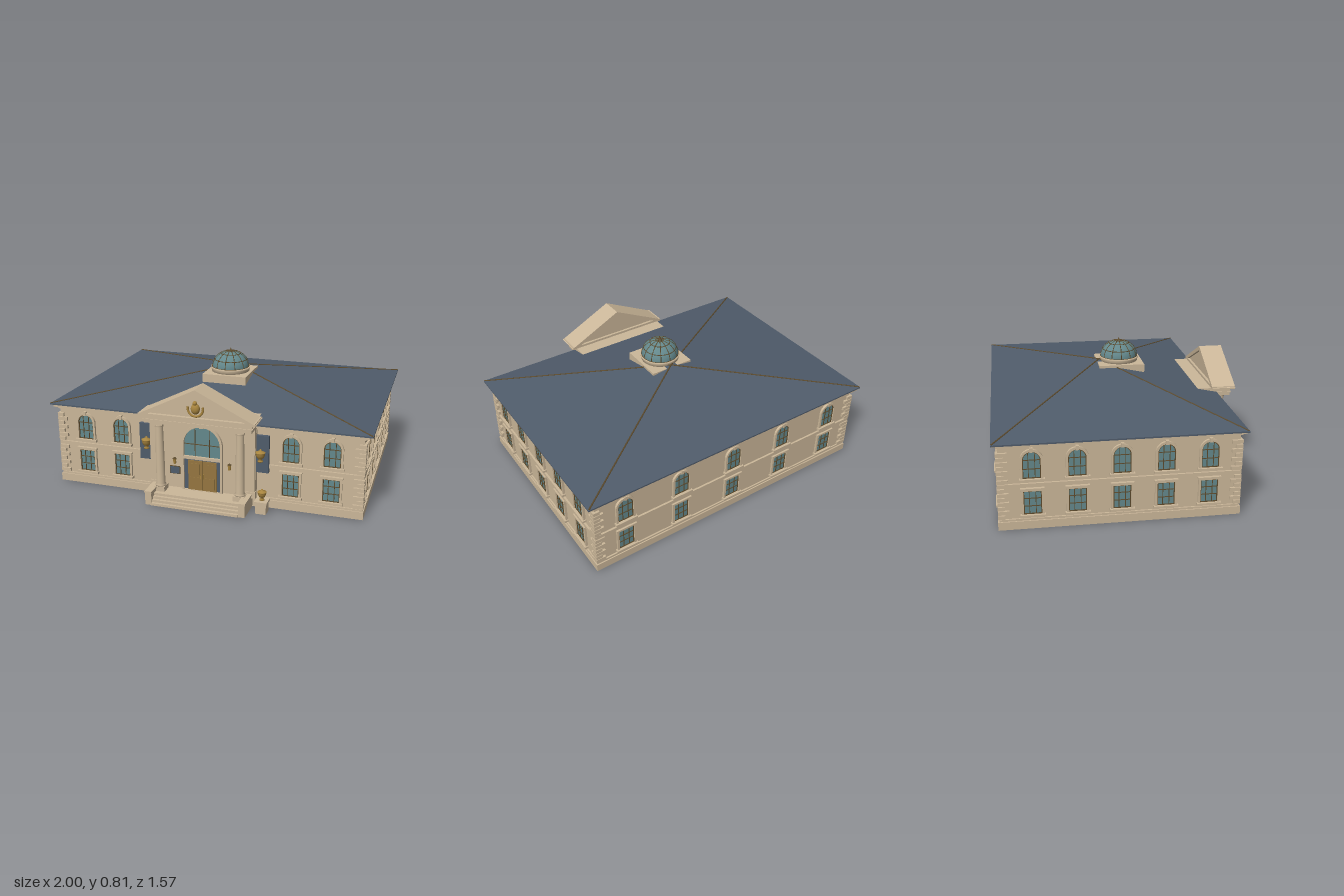
import * as THREE from 'three';

const mat = (name, color) => {
  const m = new THREE.MeshStandardMaterial({ color });
  m.name = name;
  return m;
};

export function createModel() {
  const stone = mat('stone', 0xcbb799), slate = mat('roof slate', 0x505c6b), glass = mat('window glass', 0x64888c);
  const bronze = mat('dark bronze', 0x5e4c2e), gold = mat('gold', 0xa8853f), wood = mat('door wood', 0x957640);
  const root = new THREE.Group();
  const CZ = -0.08, HX = 0.95, HZ = 0.67, WALL = CZ + HZ, BLOCK = 0.615;

  const add = (name, geo, m, parent = root, x = 0, y = 0, z = 0) => {
    const mesh = new THREE.Mesh(geo, m);
    mesh.name = name;
    mesh.position.set(x, y, z);
    parent.add(mesh);
    return mesh;
  };
  // box given by its ranges
  const box = (name, m, x0, x1, y0, y1, z0, z1, parent = root) =>
    add(name, new THREE.BoxGeometry(x1 - x0, y1 - y0, z1 - z0), m, parent, (x0 + x1) / 2, (y0 + y1) / 2, (z0 + z1) / 2);
  const group = (name, parent = root) => {
    const g = new THREE.Group();
    g.name = name;
    parent.add(g);
    return g;
  };
  const lathe = (pts, seg = 20) => new THREE.LatheGeometry(pts.map(p => new THREE.Vector2(...p)), seg);
  const extrude = (shape, depth) => new THREE.ExtrudeGeometry(shape, { depth, bevelEnabled: false, curveSegments: 14 });
  // rectangle or round-headed outline
  const outline = (hw, y0, y1, arched, C = THREE.Shape) => {
    const s = new C();
    s.moveTo(-hw, y0);
    s.lineTo(hw, y0);
    if (arched) {
      s.lineTo(hw, y1 - hw);
      s.absarc(0, y1 - hw, hw, 0, Math.PI, false);
    } else {
      s.lineTo(hw, y1);
      s.lineTo(-hw, y1);
    }
    s.lineTo(-hw, y0);
    return s;
  };

  // walls with plinth, string course and cornice
  const ring = (name, e, y0, y1) => box(name, stone, -HX - e, HX + e, y0, y1, CZ - HZ - e, CZ + HZ + e);
  ring('walls', 0, 0.04, 0.51);
  ring('plinth', 0.016, 0, 0.048);
  ring('plinthMoulding', 0.009, 0.048, 0.06);
  ring('stringCourse', 0.012, 0.25, 0.272);
  ring('frieze', 0.01, 0.485, 0.5);
  ring('cornice', 0.03, 0.5, 0.515);

  // corner quoins
  for (const sx of [-1, 1]) for (const sz of [-1, 1]) {
    const q = group('quoins');
    for (let i = 0; i < 14; i++) {
      const y = 0.063 + (i % 7) * 0.0265 + (i > 6 ? 0.212 : 0);
      const w = i % 2 ? 0.04 : 0.062, d = i % 2 ? 0.062 : 0.04;
      add('quoin', new THREE.BoxGeometry(w, 0.022, d), stone, q,
        sx * (HX + 0.014 - w / 2), y + 0.012, CZ + sz * (HZ + 0.014 - d / 2));
    }
  }

  // windows, built facing +z at the wall plane
  function windowBay(x, z, turn) {
    const bay = group('windowBay');
    bay.position.set(x, 0, z);
    bay.rotation.y = turn;
    for (const [y0, y1, arched] of [[0.085, 0.225, false], [0.3, 0.458, true]]) {
      const hw = 0.05, w = group(arched ? 'archedWindow' : 'squareWindow', bay);
      add('pane', new THREE.ShapeGeometry(outline(hw, y0, y1, arched), 14), glass, w, 0, 0, 0.003);
      const trim = outline(hw + 0.013, y0, y1 + 0.014, arched);
      trim.holes.push(outline(hw, y0, y1, arched, THREE.Path));
      add('surround', extrude(trim, 0.014), stone, w);
      const sash = outline(hw, y0, y1, arched);
      sash.holes.push(outline(hw - 0.005, y0 + 0.005, y1 - 0.005, arched, THREE.Path));
      add('sash', extrude(sash, 0.007), bronze, w);
      const top = arched ? y1 - 0.01 : y1;
      for (const s of [-1, 1]) box('mullion', bronze, s * 0.018 - 0.002, s * 0.018 + 0.002, y0, top, 0, 0.007, w);
      for (const f of [0.35, 0.68]) {
        const y = y0 + (y1 - y0) * f;
        box('glazingBar', bronze, -hw, hw, y - 0.002, y + 0.002, 0, 0.007, w);
      }
      box('sill', stone, -0.07, 0.07, y0 - 0.014, y0, 0, 0.024, w);
      if (arched) box('keystone', stone, -0.009, 0.009, y1 - 0.003, y1 + 0.022, 0, 0.019, w);
      else box('lintel', stone, -0.067, 0.067, y1 + 0.008, y1 + 0.018, 0, 0.018, w);
    }
  }
  for (const x of [-0.775, -0.535, 0.535, 0.775]) windowBay(x, WALL, 0);
  for (const x of [-0.76, -0.38, 0, 0.38, 0.76]) windowBay(x, CZ - HZ, Math.PI);
  for (let i = -2; i <= 2; i++) for (const s of [-1, 1]) windowBay(s * HX, CZ + 0.004 + i * 0.248, s * Math.PI / 2);

  // hipped roof with ridge caps
  const EAVE = 0.522, APEX = 0.672, RZ = 0.705;
  box('eaves', slate, -1, 1, 0.513, EAVE, CZ - RZ, CZ + RZ);
  let roof = new THREE.ConeGeometry(Math.SQRT2, APEX - EAVE, 4, 1, true).rotateY(Math.PI / 4).scale(1, 1, RZ).toNonIndexed();
  roof.computeVertexNormals();
  add('roof', roof, slate, root, 0, (APEX + EAVE) / 2, CZ);
  for (const sx of [-1, 1]) for (const sz of [-1, 1]) {
    const path = new THREE.LineCurve3(new THREE.Vector3(0, APEX, CZ), new THREE.Vector3(sx * 0.997, EAVE, CZ + sz * (RZ - 0.003)));
    add('hipRidge', new THREE.TubeGeometry(path, 1, 0.005, 6), bronze);
  }

  // glazed dome
  const dome = group('dome');
  dome.position.set(0, 0, 0.05);
  box('domeBase', stone, -0.143, 0.143, 0.6, 0.666, -0.145, 0.145, dome);
  add('drum', lathe([[0, 0.66], [0.122, 0.66], [0.122, 0.68], [0.126, 0.682], [0.126, 0.695], [0, 0.695]], 40), stone, dome);
  const R = 0.119, H = 0.102, BASE = 0.693;
  add('domeGlass', new THREE.SphereGeometry(R, 36, 12, 0, Math.PI * 2, 0, Math.PI / 2).scale(1, H / R, 1), glass, dome, 0, BASE, 0);
  for (let i = 0; i < 6; i++)
    add('domeRib', new THREE.TorusGeometry(R, 0.0028, 5, 28, Math.PI).scale(1, H / R, 1).rotateY(i * Math.PI / 6), bronze, dome, 0, BASE, 0);
  for (const a of [0.02, 0.5, 1.0, 1.35])
    add('domeRing', new THREE.TorusGeometry(R * Math.cos(a), 0.0028, 5, 36).rotateX(Math.PI / 2), bronze, dome, 0, BASE + H * Math.sin(a), 0);
  add('finial', lathe([[0.014, 0.793], [0.012, 0.799], [0.004, 0.802], [0.005, 0.806], [0, 0.813]], 12), bronze, dome);

  // entrance block, entablature and pediment
  box('entranceBlock', stone, -0.33, 0.33, 0, 0.548, 0.487, BLOCK);
  box('entablature', stone, -0.33, 0.33, 0.497, 0.548, 0.6, 0.712);
  box('architraveBand', stone, -0.335, 0.335, 0.516, 0.522, 0.6, 0.717);
  box('pedimentCornice', stone, -0.355, 0.355, 0.545, 0.562, 0.59, 0.737);
  const triangle = (hw, y0, y1, C = THREE.Shape) => {
    const s = new C();
    s.moveTo(-hw, y0);
    s.lineTo(hw, y0);
    s.lineTo(0, y1);
    s.lineTo(-hw, y0);
    return s;
  };
  const rake = triangle(0.36, 0.555, 0.732);
  rake.holes.push(triangle(0.295, 0.563, 0.703, THREE.Path));
  add('rakingCornice', extrude(rake, 0.148), stone, root, 0, 0, 0.59);
  add('tympanum', extrude(triangle(0.31, 0.56, 0.712), 0.11), stone, root, 0, 0, 0.606);

  // pediment ornament
  const crest = group('pedimentOrnament');
  crest.position.set(0, 0.618, 0.728);
  add('shield', new THREE.SphereGeometry(0.027, 16, 12).scale(1, 1.2, 0.8), gold, crest);
  add('shieldCrown', new THREE.SphereGeometry(0.013, 12, 8), gold, crest, 0, 0.036, 0.008);
  add('wreath', new THREE.TorusGeometry(0.046, 0.007, 6, 24, Math.PI * 1.2).rotateZ(-Math.PI * 1.1), gold, crest);

  // porch floor, steps and cheek walls
  box('porchFloor', stone, -0.27, 0.27, 0, 0.06, 0.6, 0.735);
  for (let i = 0; i < 3; i++) box('step', stone, -0.27, 0.27, 0, 0.045 - i * 0.015, 0.6, 0.752 + i * 0.017);
  for (const s of [-1, 1]) {
    add('cheekWall', new THREE.BoxGeometry(0.04, 0.078, 0.17), stone, root, s * 0.29, 0.039, 0.695);
    add('cheekCap', new THREE.BoxGeometry(0.046, 0.01, 0.178), stone, root, s * 0.29, 0.083, 0.696);
  }

  // columns and pilasters
  for (const s of [-1, 1]) {
    const c = group('column');
    c.position.set(s * 0.25, 0, 0.672);
    box('columnPlinth', stone, -0.034, 0.034, 0.06, 0.09, -0.034, 0.034, c);
    add('shaft', lathe([[0, 0.09], [0.032, 0.09], [0.033, 0.097], [0.027, 0.105], [0.027, 0.22], [0.023, 0.465],
      [0.027, 0.468], [0.023, 0.473], [0.031, 0.486], [0, 0.486]], 24), stone, c);
    box('abacus', stone, -0.034, 0.034, 0.485, 0.498, -0.034, 0.034, c);
    add('pilaster', new THREE.BoxGeometry(0.05, 0.44, 0.025), stone, root, s * 0.303, 0.28, BLOCK + 0.008);
    add('pilasterBase', new THREE.BoxGeometry(0.058, 0.04, 0.034), stone, root, s * 0.303, 0.08, BLOCK + 0.008);
  }

  // door with sidelights
  const door = group('entrance');
  door.position.z = BLOCK;
  box('sidelights', slate, -0.115, 0.115, 0.06, 0.262, 0, 0.004, door);
  const frame = outline(0.127, 0.06, 0.277);
  frame.holes.push(outline(0.115, 0.062, 0.262, false, THREE.Path));
  add('doorFrame', extrude(frame, 0.018), stone, door);
  for (const s of [-1, 1]) {
    add('doorLeaf', new THREE.BoxGeometry(0.088, 0.19, 0.012), wood, door, s * 0.0455, 0.157, 0.006);
    for (const y of [0.11, 0.2]) add('doorPanel', new THREE.BoxGeometry(0.058, 0.07, 0.004), wood, door, s * 0.047, y, 0.013);
    add('doorHandle', new THREE.BoxGeometry(0.004, 0.03, 0.008), gold, door, s * 0.009, 0.155, 0.015);
    // lantern
    add('lampBody', new THREE.CylinderGeometry(0.011, 0.008, 0.032, 8), gold, door, s * 0.173, 0.238, 0.018);
    add('lampCap', new THREE.ConeGeometry(0.013, 0.012, 8), bronze, door, s * 0.173, 0.26, 0.018);
    add('lampBracket', new THREE.BoxGeometry(0.006, 0.006, 0.02), bronze, door, s * 0.173, 0.225, 0.008);
  }
  add('fanlight', new THREE.ShapeGeometry(outline(0.114, 0.28, 0.47, true), 24), glass, door, 0, 0, 0.003);
  const arch = outline(0.128, 0.277, 0.484, true);
  arch.holes.push(outline(0.114, 0.28, 0.47, true, THREE.Path));
  add('fanlightSurround', extrude(arch, 0.018), stone, door);
  for (const s of [-1, 1]) box('fanlightMullion', bronze, s * 0.045 - 0.002, s * 0.045 + 0.002, 0.28, 0.455, 0, 0.007, door);
  box('fanlightBar', bronze, -0.114, 0.114, 0.354, 0.358, 0, 0.007, door);
  box('fanlightKeystone', stone, -0.013, 0.013, 0.465, 0.495, 0, 0.024, door);
  box('plaqueBorder', bronze, -0.21, -0.145, 0.15, 0.2, 0, 0.006, door);
  box('plaque', slate, -0.207, -0.148, 0.153, 0.197, 0, 0.008, door);

  // wall panels with gold urns, and the urn on its pedestal
  const urn = (x, y, z, k = 1) => {
    const g = lathe([[0, 0], [0.016, 0], [0.016, 0.006], [0.007, 0.013], [0.02, 0.026], [0.028, 0.044], [0.026, 0.052],
      [0.03, 0.055], [0.03, 0.059], [0.014, 0.065], [0.006, 0.07], [0.007, 0.074], [0, 0.08]], 16);
    add('urn', g.scale(k, k, k), gold, root, x, y, z);
  };
  for (const s of [-1, 1]) {
    add('wallPanel', new THREE.BoxGeometry(0.075, 0.23, 0.024), slate, root, s * 0.368, 0.337, WALL + 0.01);
    urn(s * 0.358, 0.295, 0.622);
  }
  box('pedestal', stone, 0.353, 0.417, 0, 0.065, 0.643, 0.707);
  box('pedestalCap', stone, 0.346, 0.424, 0.065, 0.078, 0.636, 0.714);
  urn(0.385, 0.078, 0.675, 0.9);

  return root;
}
